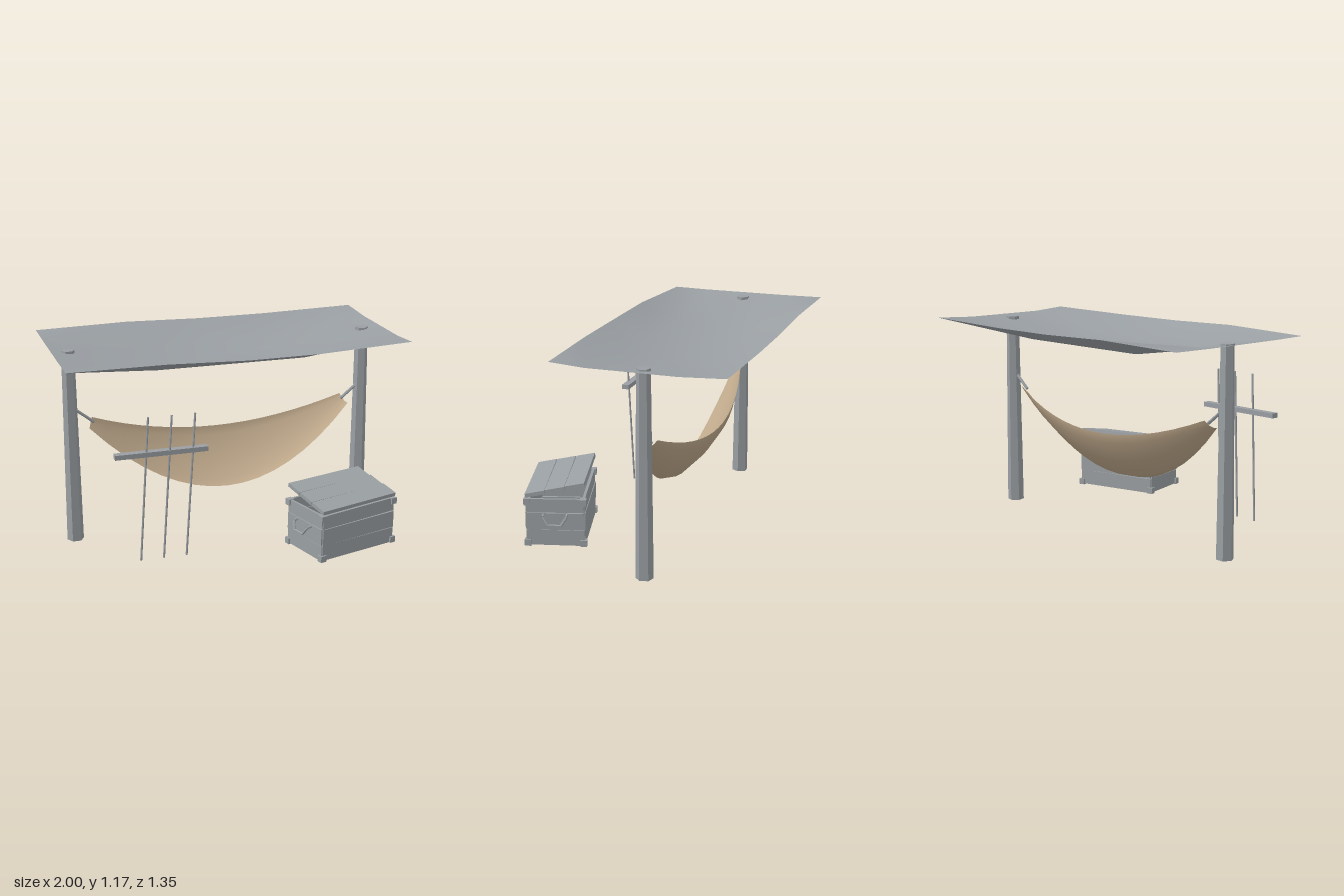
import * as THREE from 'three';

export function createModel() {
  const model = new THREE.Group();
  const grey = new THREE.MeshStandardMaterial({ color: 0x9a9fa3 });
  grey.name = 'weathered grey';
  const greySheet = new THREE.MeshStandardMaterial({ color: 0x9a9fa3, side: THREE.DoubleSide });
  greySheet.name = 'grey cloth';
  const tan = new THREE.MeshStandardMaterial({ color: 0xbda78a, side: THREE.DoubleSide });
  tan.name = 'tan canvas';
  grey.flatShading = true;

  const add = (parent, name, geometry, material = grey) => {
    const mesh = new THREE.Mesh(geometry, material);
    mesh.name = name;
    parent.add(mesh);
    return mesh;
  };
  const box = (parent, name, size, position) => {
    const mesh = add(parent, name, new THREE.BoxGeometry(...size));
    mesh.position.set(...position);
    return mesh;
  };
  // Thin round bar between two points
  const rod = (parent, name, a, b, radius) => {
    const start = new THREE.Vector3(...a), end = new THREE.Vector3(...b);
    const dir = end.clone().sub(start);
    const mesh = add(parent, name, new THREE.CylinderGeometry(radius, radius, dir.length(), 6));
    mesh.position.copy(start).add(end).multiplyScalar(0.5);
    mesh.quaternion.setFromUnitVectors(new THREE.Vector3(0, 1, 0), dir.normalize());
    return mesh;
  };

  // Sagging awning: high edges, low middle
  const xs = [-1, -0.45, 0, 0.42, 1];
  const zs = [-0.68, -0.43, -0.2, 0.07];
  const frontZ = [0.27, 0.305, 0.32, 0.315, 0.27];
  const edgeY = [1.16, 1.17, 1.158, 1.158, 1.17];
  const awning = new THREE.PlaneGeometry(2, 1, 4, 4).rotateX(-Math.PI / 2);
  const ap = awning.attributes.position;
  for (let r = 0; r < 5; r++) {
    for (let c = 0; c < 5; c++) {
      const inner = r > 0 && r < 4 && c > 0 && c < 4;
      const y = inner ? (r === 2 ? 1.065 : 1.073) : r % 4 === 0 ? edgeY[c] : 1.157;
      ap.setXYZ(r * 5 + c, xs[c], y, r === 4 ? frontZ[c] : zs[r]);
    }
  }
  awning.computeVertexNormals();
  add(model, 'awning', awning, greySheet);

  // Hexagonal posts and the ropes tied to them
  for (const [side, x, turn] of [['right', -0.9, Math.PI / 2], ['left', 0.89, 1.3]]) {
    const s = Math.sign(x);
    const post = add(model, side + 'Post', new THREE.CylinderGeometry(0.038, 0.049, 1.153, 6));
    post.position.set(x, 0.5765, -0.205);
    post.rotation.y = turn;
    rod(model, side + 'Rope', [s * 0.87, 0.8, -0.2], [s * 0.765, 0.715, -0.2], 0.009);
  }

  // Hammock: cross-sections narrow and rise toward both ends, front rim to back rim
  const middle = [[0.28, -0.07], [0.3, -0.14], [0.4, -0.24], [0.52, -0.32], [0.575, -0.33]];
  const tip = [[0.69, -0.17], [0.693, -0.19], [0.705, -0.21], [0.72, -0.225], [0.735, -0.235]];
  const cols = 16;
  const hammock = new THREE.PlaneGeometry(1.6, 1, cols, 4);
  const hp = hammock.attributes.position;
  for (let r = 0; r < 5; r++) {
    for (let c = 0; c <= cols; c++) {
      const k = 4 - r;
      const u = (c / cols) * 2 - 1;
      const halfLength = 0.8 - 0.0075 * k;
      const y = THREE.MathUtils.lerp(middle[k][0], tip[k][0], u * u);
      const z = THREE.MathUtils.lerp(middle[k][1], tip[k][1], u * u);
      hp.setXYZ(r * (cols + 1) + c, u * halfLength, y, z);
    }
  }
  hammock.computeVertexNormals();
  add(model, 'hammock', hammock, tan);

  // Crossbar with three leaning sticks
  box(model, 'crossbar', [0.525, 0.027, 0.042], [-0.505, 0.687, 0.337]);
  for (let i = 0; i < 3; i++) {
    const x = -0.58 + i * 0.132;
    rod(model, 'stick', [x - 0.052, 0.055, 0.331], [x, 0.9, 0.354], 0.006);
  }

  // Chest, turned on its spot, open at the bottom
  const chest = new THREE.Group();
  chest.name = 'chest';
  chest.position.set(0.525, 0, 0.43);
  chest.rotation.y = 0.28;
  model.add(chest);
  const W = 0.515, D = 0.325, T = 0.015;

  // Plank walls, each plank a little crooked
  const rows = [[0.058, 0.147], [0.15, 0.247], [0.25, 0.328]];
  rows.forEach(([low, high], i) => {
    const h = high - low, y = (low + high) / 2;
    for (const s of [-1, 1]) {
      const tilt = 0.008 * (i - 1) * s;
      const out = i === 1 ? 0.003 : 0;
      box(chest, 'longPlank', [W - 0.01, h, T], [0, y, s * (D / 2 - T / 2 + out)]).rotation.z = tilt;
      box(chest, 'endPlank', [T, h, D - 0.01], [s * (W / 2 - T / 2 + out), y, 0]).rotation.x = tilt;
    }
  });

  // Corner blocks and end handles
  for (const sx of [-1, 1]) {
    for (const sz of [-1, 1]) {
      for (const y of [0.073, 0.312]) {
        box(chest, 'cornerBlock', [0.036, 0.036, 0.036], [sx * 0.25, y, sz * 0.154]);
      }
    }
    const points = [[0.25, 0.24, -0.065], [0.285, 0.235, -0.065], [0.3, 0.19, -0.035],
      [0.3, 0.19, 0.035], [0.285, 0.235, 0.065], [0.25, 0.24, 0.065]].map(([x, y, z]) => [sx * x, y, z]);
    for (let i = 0; i < 5; i++) rod(chest, 'handle', points[i], points[i + 1], 0.007);
  }

  // Lid of three planks, propped up at the back
  const lid = new THREE.Group();
  lid.name = 'lid';
  lid.position.set(0, 0.379, 0);
  lid.rotation.x = 0.2;
  chest.add(lid);
  [-1, 0, 1].forEach((i) => {
    box(lid, 'lidPlank', [0.51 + 0.008 * (i % 2), 0.022, 0.11], [0.004 * i, 0.001 * i, i * 0.112]).rotation.y = 0.006 * i;
  });
  return model;
}
